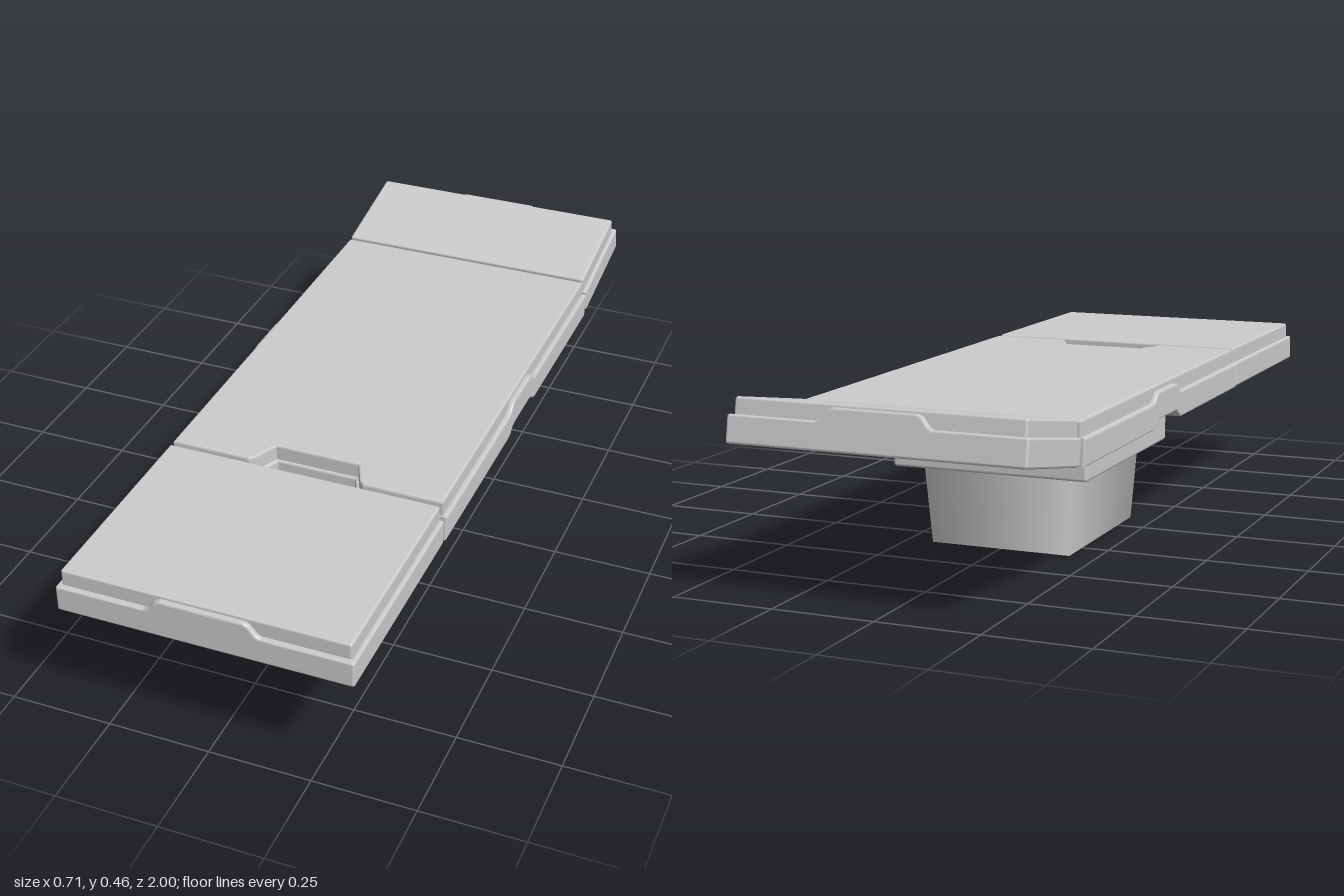
import * as THREE from 'three';
import { RoundedBoxGeometry } from 'three/addons/geometries/RoundedBoxGeometry.js';

const grey = new THREE.MeshStandardMaterial({ color: 0xcccccc });
const shell = new THREE.MeshStandardMaterial({ color: 0xcccccc, side: THREE.DoubleSide });

function add(parent, name, geometry, material = grey) {
  const mesh = new THREE.Mesh(geometry, material);
  mesh.name = name;
  parent.add(mesh);
  return mesh;
}

// Softly rounded box given by its limits on each axis
function block(parent, name, [x0, x1], [y0, y1], [z0, z1], r = 0.006) {
  const g = new RoundedBoxGeometry(x1 - x0, y1 - y0, z1 - z0, 2, r);
  g.translate((x0 + x1) / 2, (y0 + y1) / 2, (z0 + z1) / 2);
  return add(parent, name, g);
}

// Bevelled plate: outline extruded from 0 to depth along z
function plate(points, depth, b = 0.005) {
  const shape = new THREE.Shape(points.map(([x, y]) => new THREE.Vector2(x, y)));
  const g = new THREE.ExtrudeGeometry(shape, {
    depth: depth - 2 * b, bevelSize: b, bevelThickness: b, bevelOffset: -b, bevelSegments: 2,
  });
  return g.translate(0, 0, b);
}

// End section: frame, cushion and raised tab on its outer end (+z)
function endSection(name, length) {
  const section = new THREE.Group();
  section.name = name;
  block(section, 'frame', [-0.355, 0.355], [0, 0.065], [0, length]);
  block(section, 'cushion', [-0.345, 0.345], [0.02, 0.104], [0.002, length - 0.013]);
  const tab = plate([
    [-0.14, 0.03], [0.14, 0.03], [0.14, 0.064], [0.128, 0.07], [0.112, 0.09],
    [0.1, 0.096], [-0.1, 0.096], [-0.112, 0.09], [-0.128, 0.07], [-0.14, 0.064],
  ], 0.04);
  add(section, 'endTab', tab.translate(0, 0, length - 0.04));
  return section;
}

// Horizontal slab with a trapezoid notch in its front edge
function notchedSlab(halfWidth, back, front, bottom, top, grow) {
  const n = 0.37 - grow;
  const g = plate([
    [-halfWidth, back], [halfWidth, back], [halfWidth, front], [0.14 + grow, front],
    [0.128 + grow, front - 0.012], [0.1 + grow, n], [-0.1 - grow, n],
    [-0.128 - grow, front - 0.012], [-0.14 - grow, front], [-halfWidth, front],
  ], top - bottom);
  return g.rotateX(Math.PI / 2).translate(0, top, 0);
}

export function createModel() {
  const model = new THREE.Group();
  model.name = 'table';

  // Hollow tapered pedestal, open at top and bottom
  const column = new THREE.CylinderGeometry(0.195 * Math.SQRT2, 0.182 * Math.SQRT2, 0.2, 4, 1, true);
  column.rotateY(Math.PI / 4).scale(1, 1, 1.18).translate(0, 0.1, -0.12);
  add(model, 'pedestal', column, shell);
  block(model, 'supportBlock', [-0.253, 0.253], [0.2, 0.325], [-0.405, 0.165], 0.008);

  // Main section: notched core and cushion
  const back = -0.685, front = 0.441;
  add(model, 'mainFrame', notchedSlab(0.265, back, front, 0.3, 0.365, 0));
  add(model, 'mainCushion', notchedSlab(0.345, back + 0.002, front - 0.004, 0.33, 0.404, 0.006));

  // Side rails with a raised hump and matching recess beneath (outline is -z, y)
  const rail = [
    [-front, 0.3], [0.02, 0.3], [0.035, 0.306], [0.05, 0.318], [0.065, 0.321], [0.185, 0.321],
    [0.2, 0.318], [0.215, 0.306], [0.23, 0.3], [-back, 0.3], [-back, 0.366],
    [0.23, 0.366], [0.215, 0.371], [0.2, 0.386], [0.185, 0.39], [0.065, 0.39],
    [0.05, 0.386], [0.035, 0.371], [0.02, 0.366], [-front, 0.366],
  ];
  for (const [name, x] of [['leftRail', 0.237], ['rightRail', -0.357]]) {
    add(model, name, plate(rail, 0.12).rotateY(Math.PI / 2).translate(x, 0, 0));
  }

  // Flat leg section and tilted head section
  const legs = endSection('legSection', 0.549);
  legs.position.set(0, 0.301, 0.451);
  const head = endSection('headSection', 0.3);
  head.position.set(0, 0.305, -0.705);
  head.rotation.set(0.183, Math.PI, 0);
  model.add(legs, head);

  return model;
}
